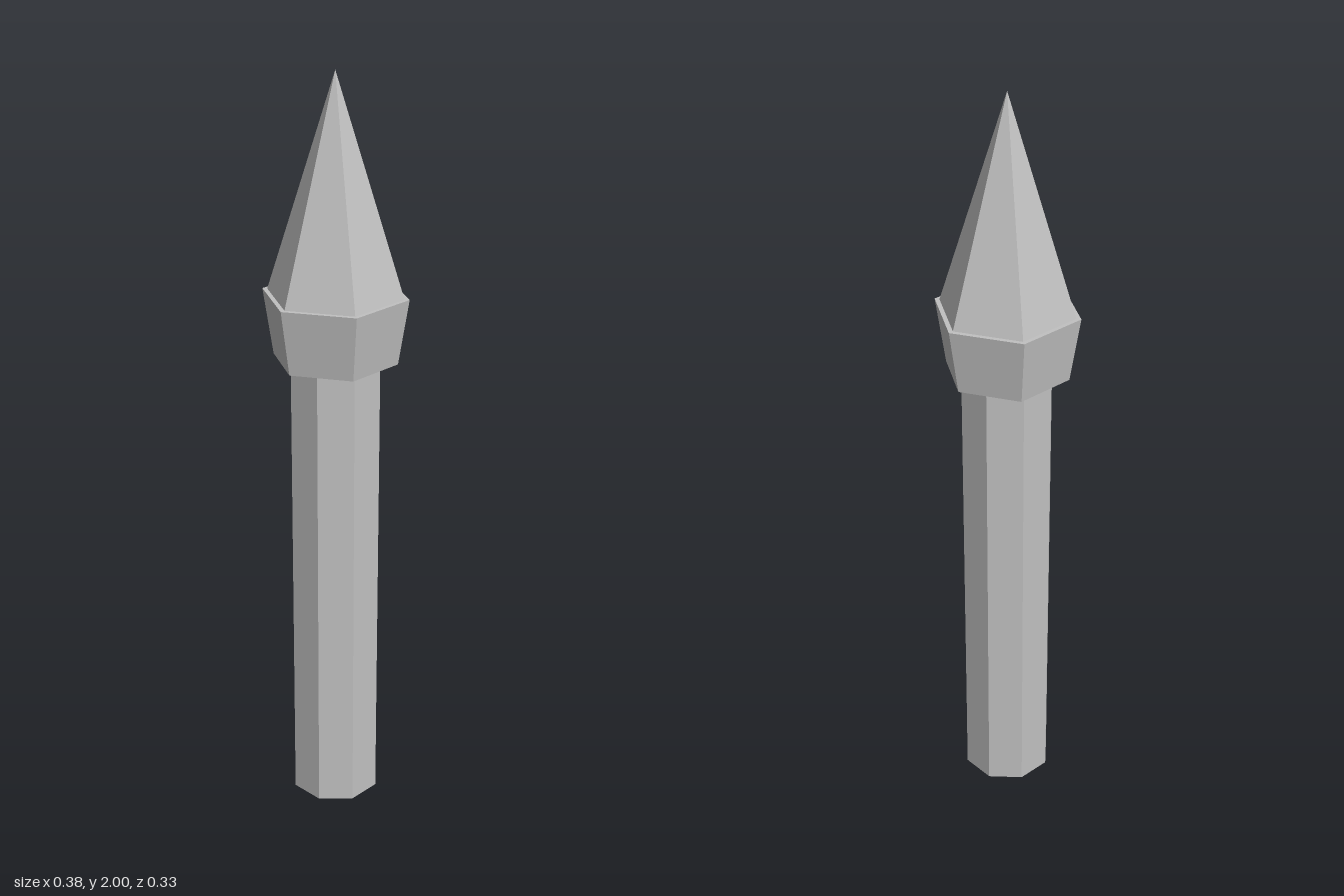
import * as THREE from 'three';

export function createModel() {
  const model = new THREE.Group();
  const stone = new THREE.MeshStandardMaterial({ color: 0xc0c0c0, flatShading: true, side: THREE.DoubleSide });
  stone.name = 'grey stone';

  // Faceted prism or frustum standing between two heights
  function prism(name, rTop, rBottom, y0, y1, sides, turn, open) {
    const geo = new THREE.CylinderGeometry(rTop, rBottom, y1 - y0, sides, 1, open, turn);
    const mesh = new THREE.Mesh(geo, stone);
    mesh.name = name;
    mesh.position.y = (y0 + y1) / 2;
    model.add(mesh);
  }

  // Octagonal post with flat sides towards front and back
  prism('post', 0.122, 0.122, 0, 1.44, 8, Math.PI / 8, false);
  // Hexagonal collar, flared upwards and hollow underneath
  prism('collar', 0.19, 0.163, 1.27, 1.443, 6, Math.PI / 2, true);
  // Hexagonal spire
  prism('spire', 0, 0.177, 1.443, 2, 6, Math.PI / 2, true);

  // Flat ledge closing the top of the collar around the spire
  const ledge = new THREE.Mesh(new THREE.CircleGeometry(0.19, 6), stone);
  ledge.name = 'collarTop';
  ledge.rotation.x = -Math.PI / 2;
  ledge.position.y = 1.443;
  model.add(ledge);

  return model;
}
